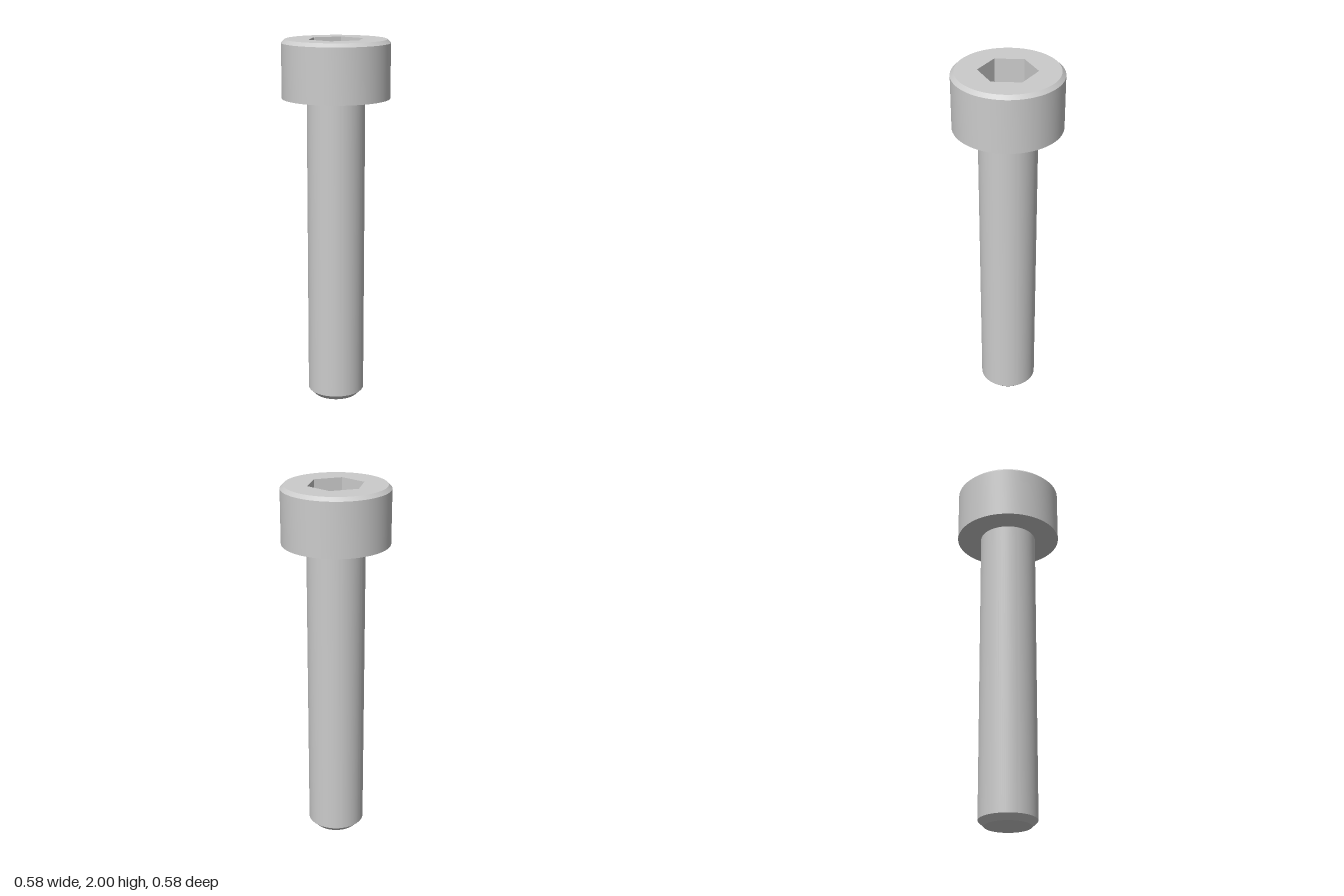
import * as THREE from 'three';
import { toCreasedNormals } from 'three/addons/utils/BufferGeometryUtils.js';

const SEGMENTS = 96;
const HEAD_R = 0.289, HEAD_BOTTOM = 1.69, HEAD_CHAMFER = 0.019;
const SHANK_R = 0.156, SHANK_CHAMFER = 0.031;
const SOCKET_R = 0.154, SOCKET_DEPTH = 0.16;
const TOP = 2;

const material = new THREE.MeshStandardMaterial({ color: 0xcccccc });

// Revolved profile of [radius, height] pairs with sharp edges kept
function turned(profile, segments) {
  const points = profile.map(([r, y]) => new THREE.Vector2(r, y));
  return toCreasedNormals(new THREE.LatheGeometry(points, segments), 0.5);
}

export function createModel() {
  const screw = new THREE.Group();
  screw.name = 'socketHeadScrew';
  const add = (name, geometry) => {
    const mesh = new THREE.Mesh(geometry, material);
    mesh.name = name;
    screw.add(mesh);
    return mesh;
  };

  // Plain shank with a chamfered tip
  add('shank', turned([
    [0, 0], [SHANK_R - SHANK_CHAMFER, 0], [SHANK_R, SHANK_CHAMFER], [SHANK_R, HEAD_BOTTOM],
  ], SEGMENTS));

  // Head: underside, cylindrical side and top chamfer
  add('head', turned([
    [SHANK_R, HEAD_BOTTOM], [HEAD_R, HEAD_BOTTOM],
    [HEAD_R, TOP - HEAD_CHAMFER], [HEAD_R - HEAD_CHAMFER, TOP],
  ], SEGMENTS));

  // Flat top face, pierced by the hexagon
  const face = new THREE.Shape().absarc(0, 0, HEAD_R - HEAD_CHAMFER, 0, Math.PI * 2);
  const corners = Array.from({ length: 6 }, (_, i) => {
    const a = i * Math.PI / 3;
    return new THREE.Vector2(SOCKET_R * Math.sin(a), SOCKET_R * Math.cos(a));
  });
  face.holes.push(new THREE.Path(corners));
  const top = add('headTop', new THREE.ShapeGeometry(face, SEGMENTS).rotateX(-Math.PI / 2));
  top.position.y = TOP;

  // Hex socket: inward-facing walls and floor
  add('hexSocket', turned([
    [SOCKET_R, TOP], [SOCKET_R, TOP - SOCKET_DEPTH], [0, TOP - SOCKET_DEPTH],
  ], 6));

  return screw;
}
